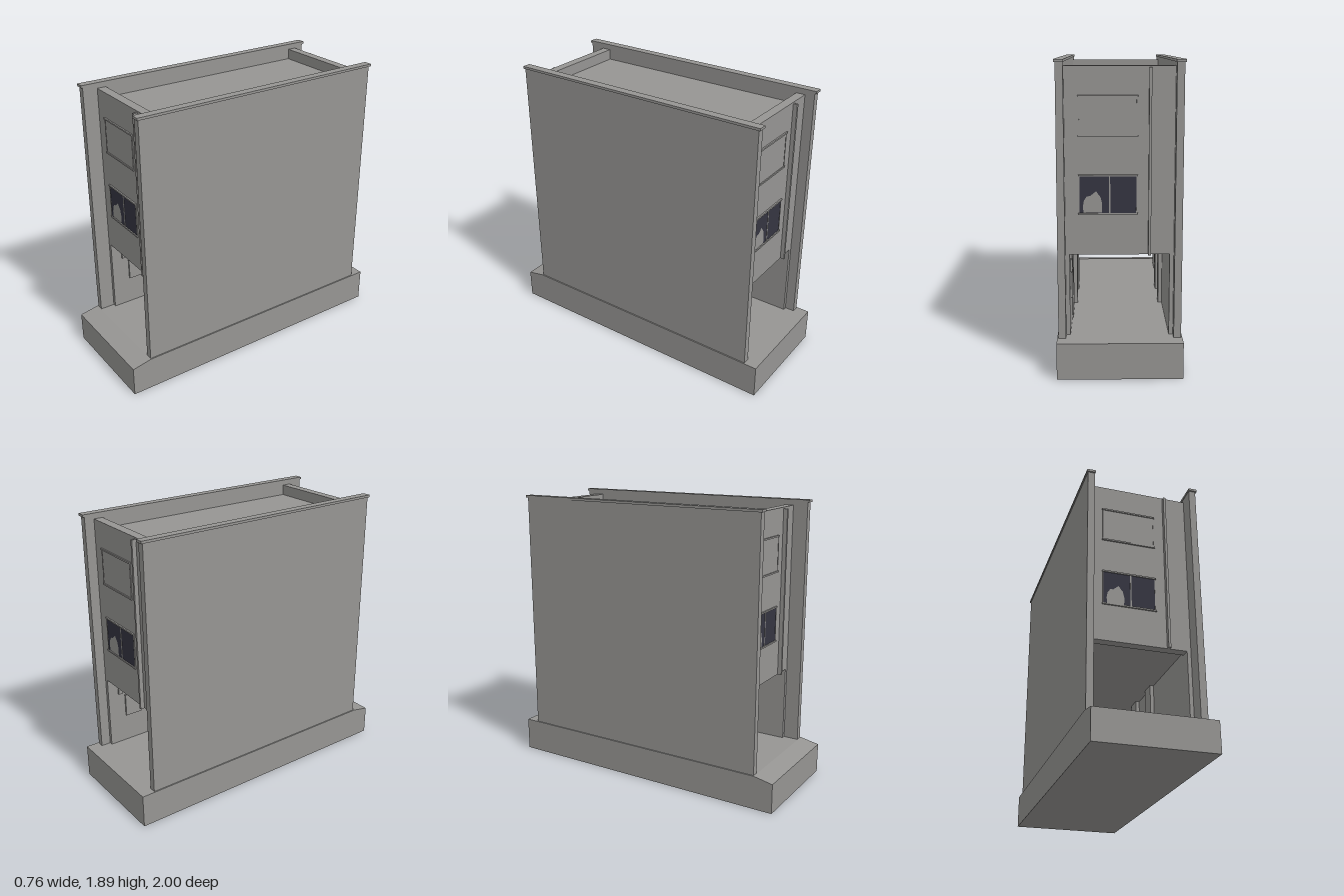
import * as THREE from 'three';

const concrete = new THREE.MeshStandardMaterial({ color: 0x969593 });
concrete.name = 'concrete grey';
const glass = new THREE.MeshStandardMaterial({ color: 0x353541 });
glass.name = 'dark glass';

// Box given by its two extreme corners
function box(parent, name, x0, x1, y0, y1, z0, z1, material = concrete) {
  const mesh = new THREE.Mesh(new THREE.BoxGeometry(x1 - x0, y1 - y0, z1 - z0), material);
  mesh.position.set((x0 + x1) / 2, (y0 + y1) / 2, (z0 + z1) / 2);
  mesh.name = name;
  parent.add(mesh);
  return mesh;
}

// One street facade with its half of the passage fittings; z = 0 is mid-building
function createFacade() {
  const g = new THREE.Group();
  const zf = 0.805;
  box(g, 'facadeWall', -0.325, 0.325, 0.73, 1.85, zf - 0.06, zf);
  box(g, 'drainPipe', 0.17, 0.186, 0.73, 1.84, zf, zf + 0.027);

  // Two windows with a thin lintel and sill
  for (const [name, y0, y1, material] of [
    ['upperWindow', 1.45, 1.67, concrete],
    ['lowerWindow', 0.985, 1.205, glass],
  ]) {
    box(g, name + 'Pane', -0.24, 0.1, y0, y1, zf, zf + 0.003, material);
    box(g, name + 'Sill', -0.246, 0.108, y0 - 0.01, y0, zf, zf + 0.01);
    box(g, name + 'Lintel', -0.246, 0.108, y1, y1 + 0.01, zf, zf + 0.01);
    for (const x of [-0.241, 0.1]) {
      box(g, name + 'Jamb', x - 0.002, x + 0.003, y0, y1, zf, zf + 0.005);
    }
  }
  box(g, 'windowMullion', -0.064, -0.056, 0.985, 1.205, zf, zf + 0.005);

  // Pale irregular shape in the lower window
  const outline = [[-0.215, 0.987], [-0.105, 0.987], [-0.104, 1.04], [-0.113, 1.08],
    [-0.125, 1.095], [-0.14, 1.117], [-0.16, 1.1], [-0.175, 1.088], [-0.195, 1.085],
    [-0.212, 1.06], [-0.218, 1.025]];
  const shape = new THREE.Shape(outline.map(([x, y]) => new THREE.Vector2(x, y)));
  const figure = new THREE.Mesh(new THREE.ShapeGeometry(shape), concrete);
  figure.position.z = zf + 0.004;
  figure.name = 'windowSilhouette';
  g.add(figure);

  // Passage jambs, piers and wall fittings
  for (const s of [-1, 1]) {
    const pier = box(g, 'passagePier', -0.0125, 0.0125, 0.225, 0.75, 0.1, 0.2);
    pier.position.x = s * 0.2875;
  }
  box(g, 'passageDoor', -0.3, -0.294, 0.225, 0.7, 0.3, 0.5);
  box(g, 'noticePanel', -0.3, -0.288, 0.42, 0.58, 0.56, 0.68);
  box(g, 'wallLamp', -0.3, -0.288, 0.6, 0.68, 0.7, 0.73);
  return g;
}

export function createModel() {
  const model = new THREE.Group();
  model.name = 'building';

  // Plinth with a sloping front pavement
  const profile = new THREE.Shape();
  profile.moveTo(-1, 0);
  profile.lineTo(1, 0);
  profile.lineTo(1, 0.225);
  profile.lineTo(-0.87, 0.225);
  profile.lineTo(-1, 0.2);
  profile.closePath();
  const plinthGeometry = new THREE.ExtrudeGeometry(profile, { depth: 0.756, bevelEnabled: false });
  plinthGeometry.translate(0, 0, -0.378).rotateY(Math.PI / 2);
  const plinth = new THREE.Mesh(plinthGeometry, concrete);
  plinth.name = 'plinth';
  model.add(plinth);

  // Party walls, coping and passage lining on both sides
  for (const s of [-1, 1]) {
    const wall = box(model, 'partyWall', -0.0225, 0.0225, 0.225, 1.872, -0.91, 0.865);
    wall.position.x = s * 0.3475;
    const coping = box(model, 'wallCoping', -0.028, 0.028, 1.872, 1.888, -0.922, 0.875);
    coping.position.x = s * 0.3495;
    const lining = box(model, 'passageLining', -0.0125, 0.0125, 0.225, 0.75, -0.845, 0.765);
    lining.position.x = s * 0.3125;
  }

  // Upper storeys topped by the flat roof
  box(model, 'upperStoreys', -0.325, 0.325, 0.75, 1.78, -0.785, 0.705);

  // Matching front and back facades, turned about the building's middle
  for (const [name, angle] of [['frontFacade', 0], ['backFacade', Math.PI]]) {
    const facade = createFacade();
    facade.name = name;
    facade.rotation.y = angle;
    facade.position.z = -0.04;
    model.add(facade);
  }
  return model;
}
